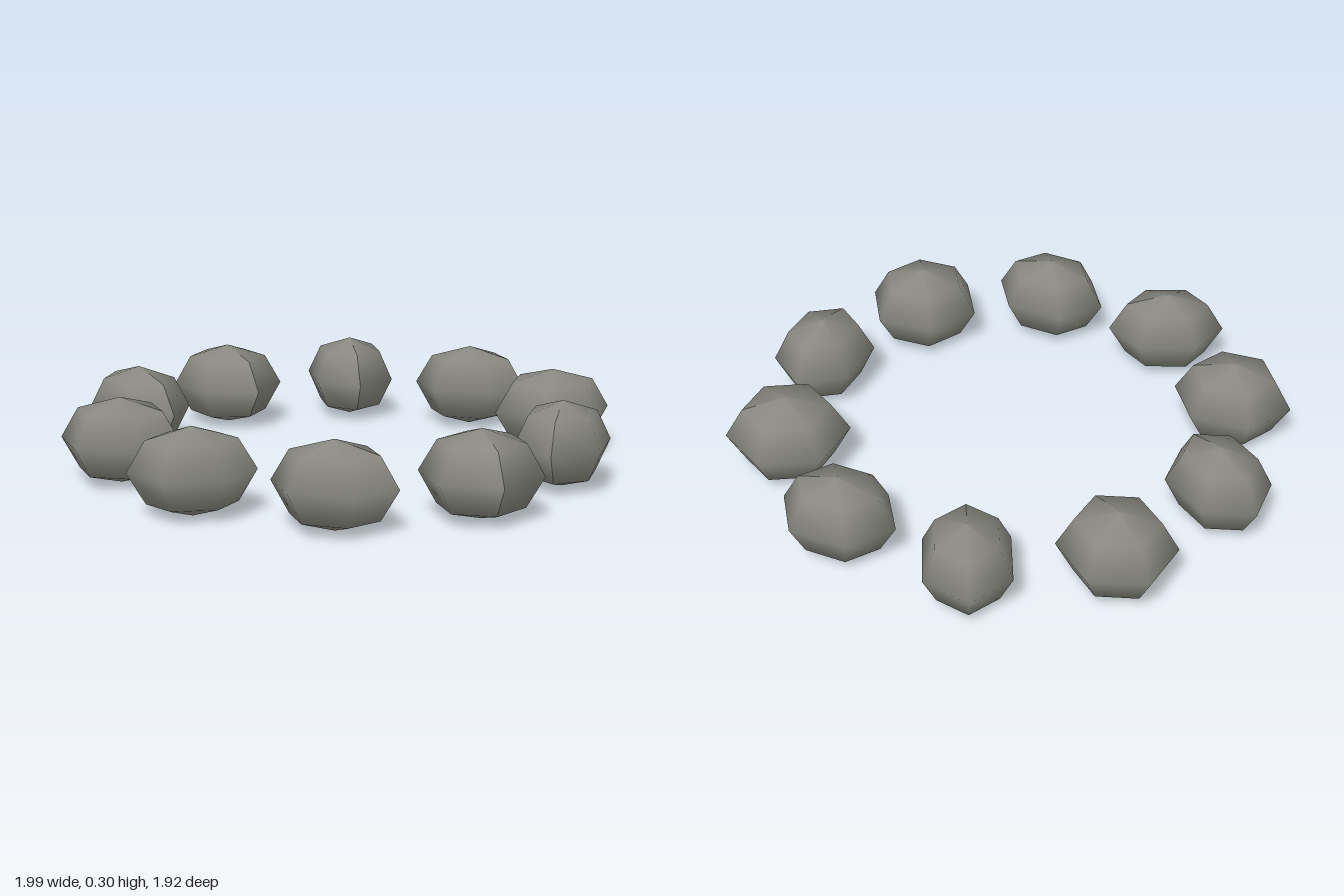
import * as THREE from 'three';

export function createModel() {
  const group = new THREE.Group();
  group.name = 'stoneRing';
  const stoneGrey = new THREE.MeshStandardMaterial({ color: 0x888880 });
  stoneGrey.name = 'stoneGrey';

  // Each stone: half length, half width, turn about the vertical
  const stones = [
    [0.218, 0.215, 3.12],
    [0.214, 0.173, 1.01],
    [0.201, 0.209, 1.59],
    [0.214, 0.172, 2.56],
    [0.213, 0.162, 3.0],
    [0.213, 0.195, 2.67],
    [0.214, 0.168, 2.0],
    [0.213, 0.199, 1.92],
    [0.213, 0.168, 1.48],
    [0.211, 0.176, 2.59],
  ];
  const ringRadius = 0.793, halfHeight = 0.15, offsetX = -0.015;

  // Squashed low-poly pebbles, evenly spaced around the ring
  stones.forEach(([length, width, turn], i) => {
    const geometry = new THREE.SphereGeometry(1, 6, 4);
    geometry.scale(length, halfHeight, width);
    geometry.computeVertexNormals();
    const stone = new THREE.Mesh(geometry, stoneGrey);
    const angle = (i / stones.length) * Math.PI * 2;
    stone.position.set(offsetX + Math.cos(angle) * ringRadius, halfHeight, Math.sin(angle) * ringRadius);
    stone.rotation.y = turn;
    stone.name = `stone${i + 1}`;
    group.add(stone);
  });
  return group;
}
